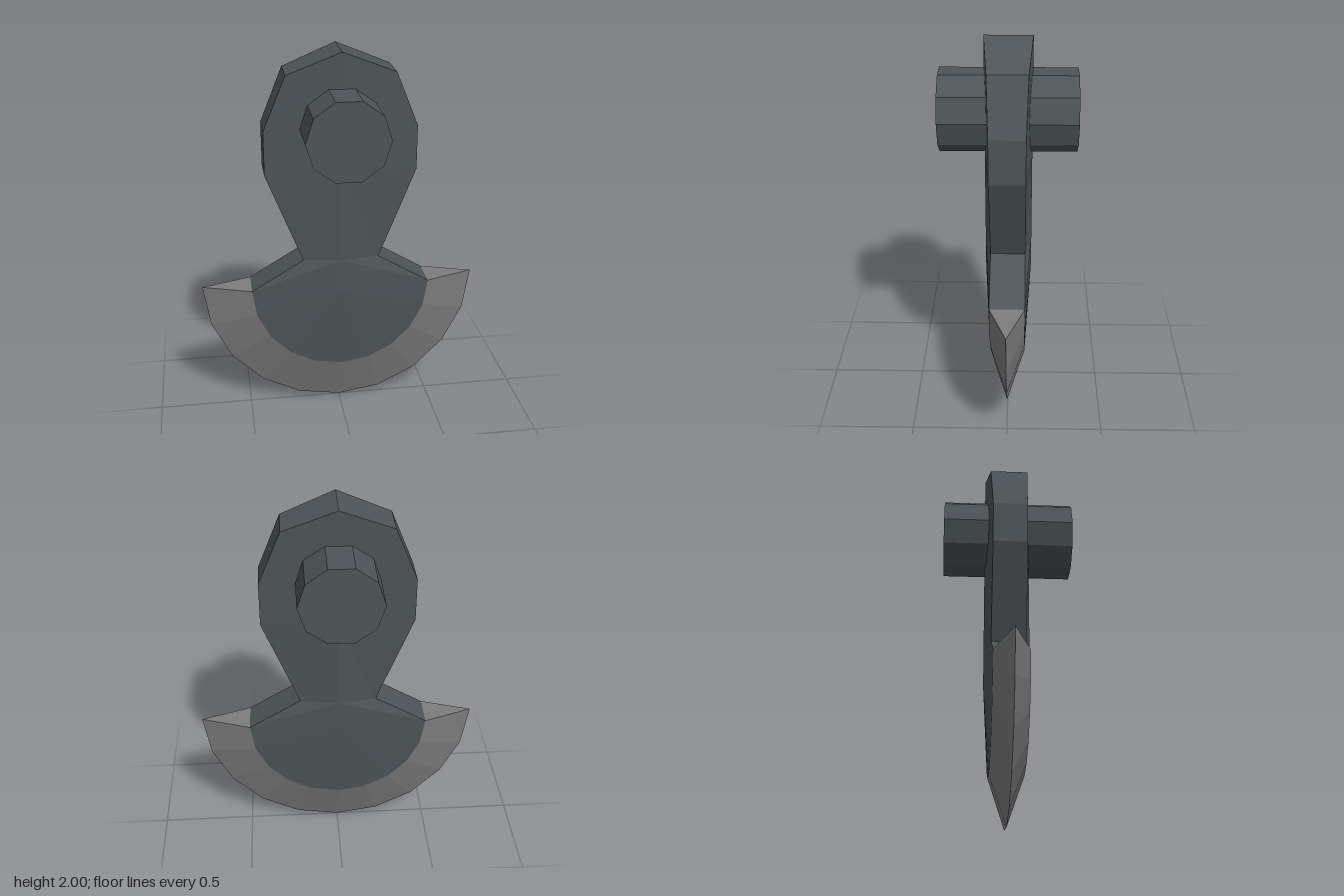
import * as THREE from 'three';

const HUB = 0.735;     // height of the blade's arc centre
const RIDGE = 0.122;   // half thickness along the centre line
const EDGE = 0.09;     // half thickness at the outline

const bodyMat = new THREE.MeshStandardMaterial({ color: 0x4d5457, flatShading: true });
const bladeMat = new THREE.MeshStandardMaterial({ color: 0x7d7d7d, flatShading: true });

// Mirrors the triangles of one quarter (+x, +z) into all four quarters.
function mirroredMesh(name, tris, material) {
  const pos = [];
  for (const sx of [1, -1]) for (const sz of [1, -1]) {
    for (const [a, b, c] of tris) {
      const order = sx * sz > 0 ? [a, b, c] : [a, c, b];
      for (const p of order) pos.push(p[0] * sx, p[1], p[2] * sz);
    }
  }
  const geo = new THREE.BufferGeometry();
  geo.setAttribute('position', new THREE.Float32BufferAttribute(pos, 3));
  geo.computeVertexNormals();
  const mesh = new THREE.Mesh(geo, material);
  mesh.name = name;
  return mesh;
}

const quad = (a, b, c, d) => [[a, b, c], [a, c, d]];

// Points of a quarter arc from the side down to the bottom.
function arc(radius, z) {
  return Array.from({ length: 6 }, (_, i) => {
    const t = (i * Math.PI) / 10;
    return [radius * Math.cos(t), HUB - radius * Math.sin(t), z(i)];
  });
}

export function createModel() {
  const group = new THREE.Group();
  const inner = arc(0.475, () => EDGE);
  const outer = arc(0.735, () => 0);

  // Head, neck and shoulder outline, top to bottom
  const outline = [
    [0, 2, RIDGE], [0.275, 1.89, 0.1], [0.39, 1.61, EDGE],
    [0.39, 1.38, EDGE], [0.2, 0.9, EDGE], [0.475, HUB, EDGE],
  ];
  const axis = (p) => [0, p[1], RIDGE];
  const mid = (p) => [p[0], p[1], 0];
  const body = [];
  for (let i = 0; i < outline.length - 1; i++) {
    const p = outline[i], q = outline[i + 1];
    if (i === 0) body.push([p, axis(q), q]);
    else body.push(...quad(axis(p), axis(q), q, p));
    body.push(...quad(p, q, mid(q), mid(p)));
  }
  // Half-round lower body, fanned from the hub
  for (let i = 0; i < 5; i++) body.push([[0, HUB, RIDGE], inner[i + 1], inner[i]]);
  group.add(mirroredMesh('body', body, bodyMat));

  // Bevelled cutting edge with closed ends
  const blade = [[inner[0], outer[0], mid(inner[0])]];
  for (let i = 0; i < 5; i++) {
    blade.push(...quad(inner[i], inner[i + 1], outer[i + 1], outer[i]));
  }
  group.add(mirroredMesh('bladeEdge', blade, bladeMat));

  // Ten-sided pin through the head
  const pinGeo = new THREE.CylinderGeometry(0.21, 0.21, 0.695, 10);
  pinGeo.rotateY(Math.PI / 2).rotateX(Math.PI / 2);
  const pin = new THREE.Mesh(pinGeo, bodyMat);
  pin.name = 'pin';
  pin.position.y = 1.618;
  group.add(pin);

  return group;
}
